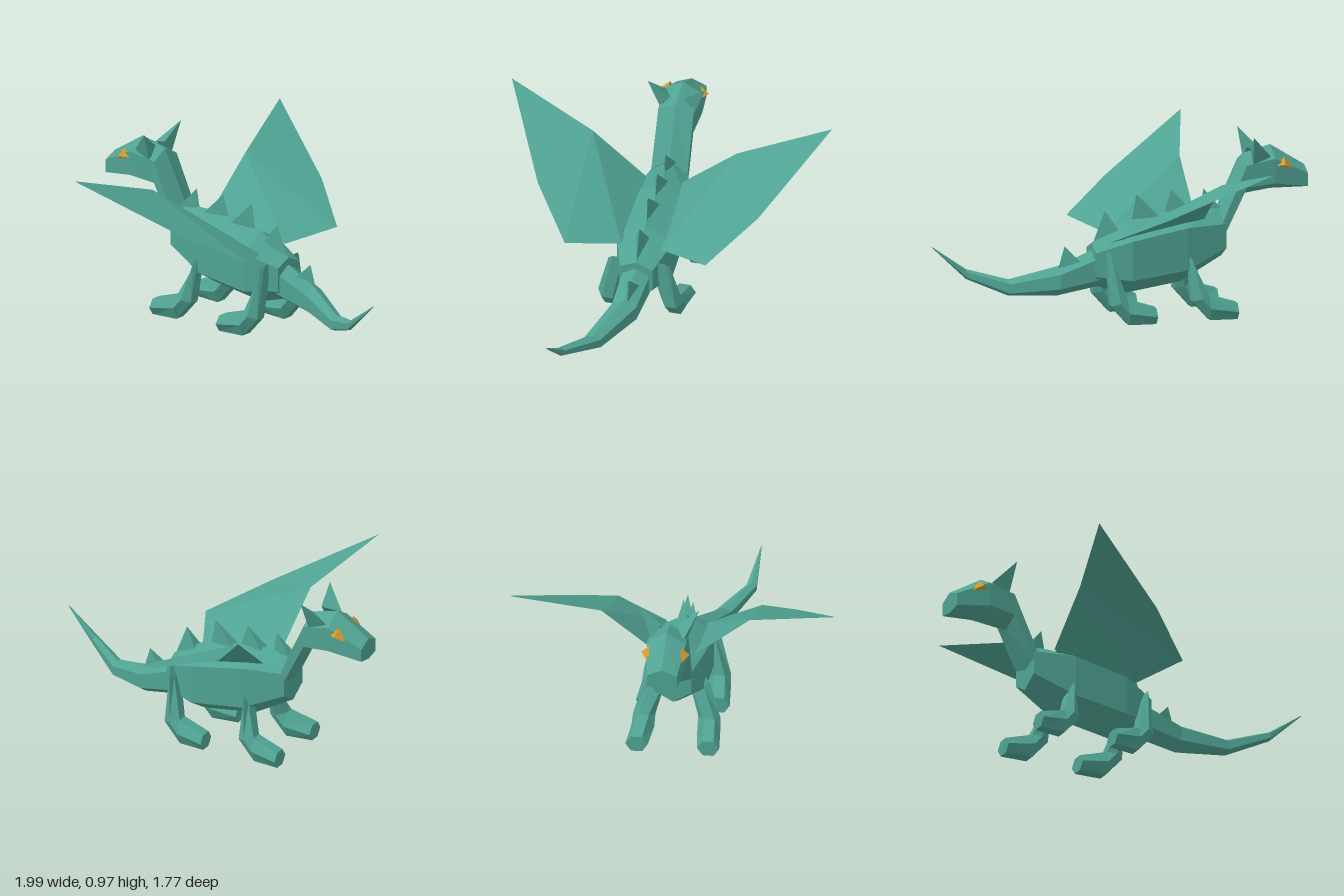
import * as THREE from 'three';

const green = new THREE.MeshStandardMaterial({ color: 0x4fa393, flatShading: true, side: THREE.DoubleSide });
green.name = 'scale green';
const gold = new THREE.MeshStandardMaterial({ color: 0xd99a26, flatShading: true });
gold.name = 'eye gold';

// Flat-faceted mesh from points and triangles; solids are turned to face outward
function facets(name, points, tris, material = green) {
  const v = points.map((p) => new THREE.Vector3(...p));
  const volume = tris.reduce((sum, [a, b, c]) => sum + v[a].dot(v[b].clone().cross(v[c])), 0);
  const out = [];
  for (const [a, b, c] of tris) {
    for (const i of volume < 0 ? [a, c, b] : [a, b, c]) out.push(...points[i]);
  }
  const geo = new THREE.BufferGeometry();
  geo.setAttribute('position', new THREE.Float32BufferAttribute(out, 3));
  geo.computeVertexNormals();
  const mesh = new THREE.Mesh(geo, material);
  mesh.name = name;
  return mesh;
}

// Closed skin over a row of equal-sized rings
function loft(name, rings) {
  const n = rings[0].length, tris = [];
  for (let r = 0; r < rings.length - 1; r++) {
    for (let i = 0; i < n; i++) {
      const a = r * n + i, b = r * n + (i + 1) % n;
      tris.push([a, b, a + n], [b, b + n, a + n]);
    }
  }
  const last = (rings.length - 1) * n;
  for (let i = 1; i < n - 1; i++) {
    tris.push([0, i + 1, i], [last, last + i, last + i + 1]);
  }
  return facets(name, rings.flat(), tris);
}

// Upright six-sided ring with a ridge above and a keel below
const rib = ([x, z, w, top, upper, lower, bottom]) => [
  [x, top, z], [x, upper, z + w], [x, lower, z + w],
  [x, bottom, z], [x, lower, z - w], [x, upper, z - w],
].map(([px, py, pz]) => [px, py, pz]);

// Leg ring from a front point to a back point, widest halfway
const legRing = ([fx, fy, bx, by, z, w], dx, side) => {
  const mx = (fx + bx) / 2, my = (fy + by) / 2;
  return [
    [fx, fy, -w / 2], [fx, fy, w / 2], [mx, my, w],
    [bx, by, w / 2], [bx, by, -w / 2], [mx, my, -w],
  ].map(([x, y, dz]) => [x + dx, y, side * (z + dz)]);
};

const PYRAMID = [[0, 1, 2], [0, 3, 1], [1, 3, 2], [2, 3, 0]];

export function createModel() {
  const model = new THREE.Group();
  model.name = 'dragon';

  // Torso, neck with head, and curling tail: x, z, half width, four heights
  model.add(loft('body', [
    [-0.54, 0, 0.1, 0.58, 0.5, 0.37, 0.31],
    [-0.31, 0, 0.15, 0.58, 0.5, 0.27, 0.18],
    [0.0, 0, 0.155, 0.53, 0.445, 0.23, 0.135],
    [0.185, 0, 0.09, 0.42, 0.38, 0.25, 0.19],
  ].map(rib)));
  model.add(loft('neckAndHead', [
    [-1.0, 0, 0.08, 0.78, 0.745, 0.675, 0.66],
    [-0.81, 0, 0.105, 0.9, 0.84, 0.705, 0.66],
    [-0.655, 0, 0.097, 0.86, 0.81, 0.69, 0.64],
    [-0.52, 0, 0.1, 0.585, 0.51, 0.42, 0.39],
  ].map(rib)));
  model.add(loft('tail', [
    [0.16, 0, 0.075, 0.39, 0.345, 0.23, 0.18],
    [0.37, 0.018, 0.067, 0.3, 0.265, 0.185, 0.14],
    [0.61, 0.13, 0.045, 0.22, 0.2, 0.15, 0.13],
    [0.81, 0.255, 0.027, 0.262, 0.25, 0.22, 0.208],
    [0.99, 0.285, 0.002, 0.388, 0.387, 0.384, 0.383],
  ].map(rib)));

  // Back spines: front x, back x, front y, back y, tip x, tip y
  const spines = [
    [-0.53, -0.42, 0.57, 0.57, -0.44, 0.68],
    [-0.36, -0.22, 0.57, 0.555, -0.26, 0.685],
    [-0.18, -0.04, 0.55, 0.53, -0.065, 0.67],
    [0.045, 0.18, 0.49, 0.41, 0.11, 0.59],
    [0.255, 0.37, 0.325, 0.29, 0.335, 0.41],
  ];
  for (const [x0, x1, y0, y1, tx, ty] of spines) {
    model.add(facets('spine', [[x0, y0, 0.035], [x0, y0, -0.035], [x1, y1, 0], [tx, ty, 0]], PYRAMID));
  }

  for (const side of [1, -1]) {
    const mirror = (pts) => pts.map(([x, y, z]) => [x, y, z * side]);

    // Folded wing: two root points, leading bend, tip, two trailing points
    model.add(facets('wing', mirror([
      [-0.415, 0.535, 0.1], [0.075, 0.445, 0.11], [-0.425, 0.78, 0.4],
      [0.21, 0.495, 0.388], [-0.07, 0.65, 0.61], [-0.575, 0.925, 0.885],
    ]), [[0, 1, 2], [1, 3, 2], [2, 3, 4], [2, 4, 5]]));

    // Legs: toe, ankle, heel, hip
    for (const [name, dx, hipY] of [['frontLeg', 0, 0.35], ['hindLeg', 0.453, 0.4]]) {
      model.add(loft(name, [
        [-0.565, 0.09, -0.565, 0.003, 0.193, 0.06],
        [-0.414, 0.135, -0.415, 0.003, 0.178, 0.062],
        [-0.41, 0.142, -0.32, 0.11, 0.175, 0.06],
        [-0.345, hipY - 0.05, -0.318, hipY, 0.115, 0.055],
      ].map((s) => legRing(s, dx, side))));
    }

    // Horn and eye
    model.add(facets('horn', mirror([
      [-0.79, 0.85, 0.088], [-0.69, 0.8, 0.095], [-0.69, 0.88, 0.04], [-0.675, 0.973, 0.16],
    ]), PYRAMID));
    model.add(facets('eye', mirror([
      [-0.92, 0.772, 0.085], [-0.815, 0.8, 0.098], [-0.865, 0.845, 0.085], [-0.86, 0.805, 0.13],
    ]), PYRAMID, gold));
  }
  return model;
}
